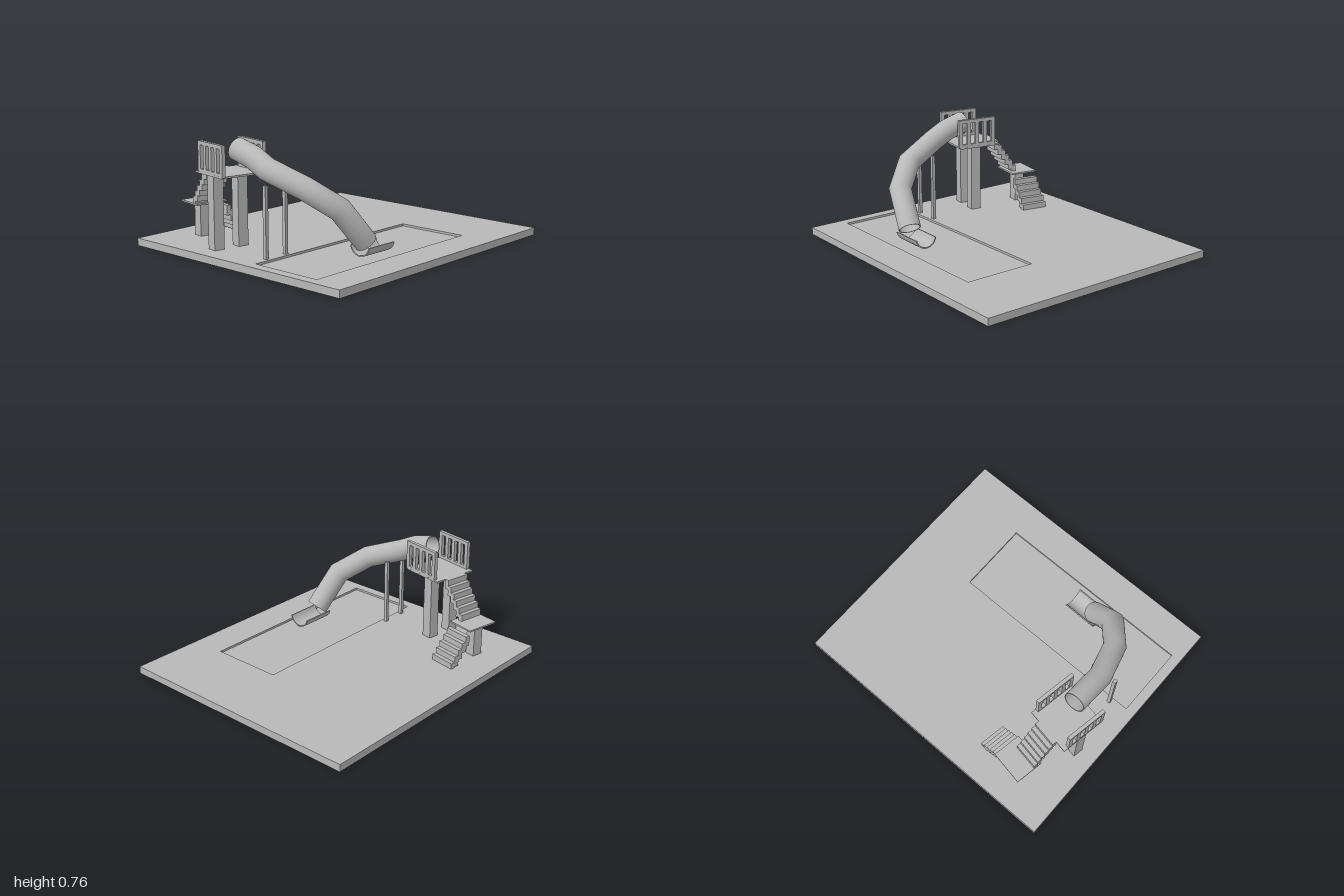
import * as THREE from 'three';
import { toCreasedNormals } from 'three/addons/utils/BufferGeometryUtils.js';

const grey = new THREE.MeshStandardMaterial({ color: 0xb8b8b8 });
grey.name = 'plain grey';

const FLOOR = 0.05;

function add(parent, name, geometry) {
  const mesh = new THREE.Mesh(geometry, grey);
  mesh.name = name;
  parent.add(mesh);
  return mesh;
}

// Box given by its minimum and maximum on each axis
function block(parent, name, [x0, x1], [y0, y1], [z0, z1]) {
  const mesh = add(parent, name, new THREE.BoxGeometry(x1 - x0, y1 - y0, z1 - z0));
  mesh.position.set((x0 + x1) / 2, (y0 + y1) / 2, (z0 + z1) / 2);
  return mesh;
}

const post = (parent, name, x, z, size, top) =>
  block(parent, name, [x - size / 2, x + size / 2], [FLOOR, top], [z - size / 2, z + size / 2]);

// Walled pipe (or part of one) swept along straight sections with mitred joints
function pipe(points, outer, inner, from, to, sides) {
  const path = points.map((p) => new THREE.Vector3(...p));
  const dirs = path.slice(1).map((p, i) => p.clone().sub(path[i]).normalize());
  const side = new THREE.Vector3(0, 1, 0).cross(dirs[0]).normalize();
  const up = dirs[0].clone().cross(side);
  let ring = [];
  for (let k = 0; k < 2; k++) {
    for (let i = 0; i <= sides; i++) {
      const t = (k ? sides - i : i) / sides;
      const a = from + (to - from) * t;
      const r = k ? inner : outer;
      ring.push(path[0].clone().addScaledVector(side, r * Math.cos(a)).addScaledVector(up, r * Math.sin(a)));
    }
  }
  const n = ring.length;
  const positions = [];
  const index = [];
  path.forEach((point, s) => {
    if (s > 0) {
      const along = dirs[s - 1];
      const normal = along.clone().add(dirs[s] || along).normalize();
      ring = ring.map((p) => p.clone().addScaledVector(along, point.clone().sub(p).dot(normal) / along.dot(normal)));
    }
    ring.forEach((p) => positions.push(p.x, p.y, p.z));
  });
  const quad = (a, b, c, d) => index.push(a, b, c, a, c, d);
  for (let s = 0; s < path.length - 1; s++) {
    for (let j = 0; j < n; j++) {
      const k = (j + 1) % n;
      quad(s * n + j, s * n + k, (s + 1) * n + k, (s + 1) * n + j);
    }
  }
  const last = (path.length - 1) * n;
  for (let j = 0; j < sides; j++) {
    quad(j, n - 1 - j, n - 2 - j, j + 1);
    quad(last + j, last + j + 1, last + n - 2 - j, last + n - 1 - j);
  }
  const geometry = new THREE.BufferGeometry();
  geometry.setAttribute('position', new THREE.Float32BufferAttribute(positions, 3));
  geometry.setIndex(index);
  return toCreasedNormals(geometry, 0.7);
}

function rectangle(PathType, x0, x1, y0, y1) {
  return new PathType([[x0, y0], [x1, y0], [x1, y1], [x0, y1]].map((p) => new THREE.Vector2(...p)));
}

function createGround() {
  const ground = new THREE.Group();
  ground.name = 'ground';
  const depth = 0.015;
  block(ground, 'groundSlab', [-1, 1], [0, FLOOR - depth], [-0.895, 0.895]);
  // Upper layer with the shallow rectangular basin cut out
  const layer = rectangle(THREE.Shape, -1, 1, -0.895, 0.895);
  layer.holes.push(rectangle(THREE.Path, -0.93, 0.49, 0.15, 0.655));
  const geometry = new THREE.ExtrudeGeometry(layer, { depth, bevelEnabled: false });
  geometry.rotateX(Math.PI / 2).translate(0, FLOOR, 0);
  add(ground, 'basinSurround', geometry);
  return ground;
}

function createRailing(x) {
  const railing = new THREE.Group();
  railing.name = 'railing';
  const xs = [x - 0.0125, x + 0.0125];
  const [z0, z1] = [-0.125, 0.16];
  block(railing, 'bottomRail', xs, [0.535, 0.56], [z0, z1]);
  block(railing, 'topRail', xs, [0.713, 0.738], [z0, z1]);
  const width = 0.029;
  for (let i = 0; i < 5; i++) {
    const z = z0 + (i * (z1 - z0 - width)) / 4;
    block(railing, 'slat', xs, [0.56, 0.713], [z, z + width]);
  }
  return railing;
}

function createTower() {
  const tower = new THREE.Group();
  tower.name = 'tower';
  tower.position.set(-0.73, 0, -0.273);
  tower.rotation.y = -0.18;

  // Platform on two posts
  block(tower, 'platform', [-0.163, 0.163], [0.528, 0.54], [-0.16, 0.15]);
  post(tower, 'towerPost', -0.115, 0, 0.073, 0.53);
  post(tower, 'towerPost', 0.065, 0, 0.073, 0.53);
  tower.add(createRailing(-0.15), createRailing(0.15));

  // Upper flight runs back to the landing
  for (let i = 0; i < 6; i++) {
    const top = 0.54 - i * 0.041;
    const z = -0.158 - i * 0.029;
    block(tower, 'upperStep', [-0.085, 0.09], [Math.max(0.283, top - 0.07), top], [z - 0.031, z]);
  }

  // Landing with its post
  block(tower, 'landing', [-0.09, 0.145], [0.278, 0.289], [-0.474, -0.277]);
  post(tower, 'landingPost', 0.015, -0.385, 0.073, 0.28);

  // Lower flight turns sideways down to the ground
  for (let i = 0; i < 5; i++) {
    const top = 0.25 - i * 0.04;
    const x = 0.143 + i * 0.031;
    block(tower, 'lowerStep', [x, x + 0.033], [Math.max(FLOOR, top - 0.07), top], [-0.468, -0.283]);
  }
  return tower;
}

function createSlide() {
  const slide = new THREE.Group();
  slide.name = 'slide';
  add(slide, 'slideTube', pipe([
    [-0.727, 0.69, -0.212],
    [-0.727, 0.652, -0.067],
    [-0.727, 0.592, 0.053],
    [-0.655, 0.494, 0.305],
    [-0.52, 0.365, 0.47],
    [-0.34, 0.14, 0.52],
  ], 0.075, 0.069, 0, Math.PI * 2, 32));
  // Open half pipe at the foot
  add(slide, 'slideChute', pipe([
    [-0.39, 0.132, 0.515],
    [-0.15, 0.132, 0.518],
  ], 0.08, 0.072, Math.PI * 1.06, Math.PI * 1.94, 20));
  // Pair of thin supports
  for (const x of [-0.808, -0.638]) post(slide, 'slideSupport', x, 0.117, 0.024, 0.51);
  return slide;
}

export function createModel() {
  const model = new THREE.Group();
  model.name = 'slidePlayground';
  model.add(createGround(), createTower(), createSlide());
  return model;
}
